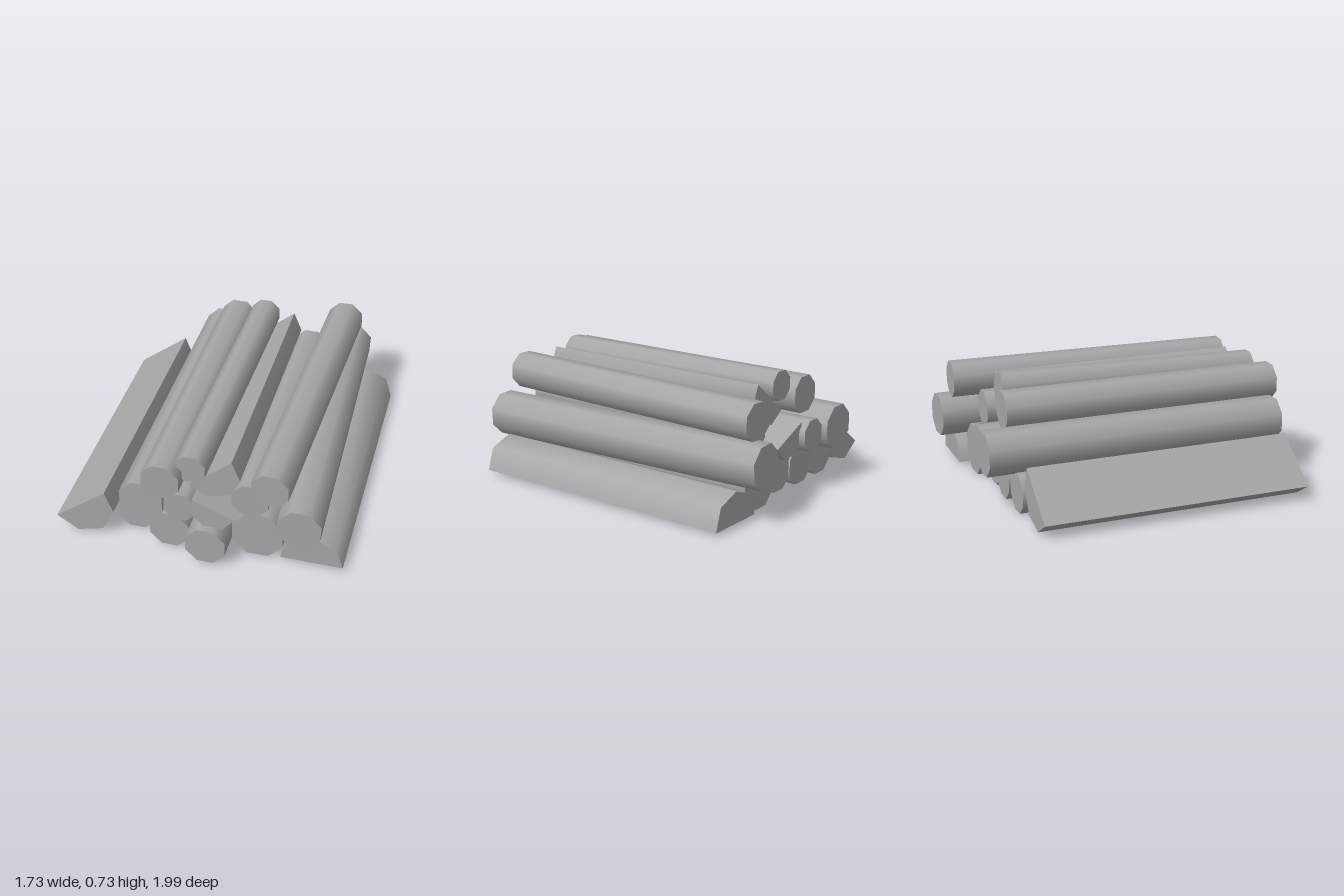
import * as THREE from 'three';
import { toCreasedNormals } from 'three/addons/utils/BufferGeometryUtils.js';

export function createModel() {
  const group = new THREE.Group();
  group.name = 'logPile';
  const wood = new THREE.MeshStandardMaterial({ color: 0xa6a6a6 });
  wood.name = 'plain grey wood';

  // Eight-sided log between two end centres; half is the flat-to-centre distance
  function addLog(name, half, front, back) {
    const a = new THREE.Vector3(...front);
    const b = new THREE.Vector3(...back);
    const axis = a.clone().sub(b);
    const radius = half / Math.cos(Math.PI / 8);
    const geometry = new THREE.CylinderGeometry(radius, radius, axis.length(), 8);
    geometry.rotateY(Math.PI / 8);
    const mesh = new THREE.Mesh(geometry, wood);
    mesh.name = name;
    mesh.position.copy(a).add(b).multiplyScalar(0.5);
    mesh.quaternion.setFromUnitVectors(new THREE.Vector3(0, 1, 0), axis.normalize());
    group.add(mesh);
  }

  // Split log: flat cut face plus rounded bark, extruded from back to front
  function addSplitLog(name, outline, zFront, zBack, shift = [0, 0]) {
    const shape = new THREE.Shape(outline.map(([x, y]) => new THREE.Vector2(x, y)));
    const extruded = new THREE.ExtrudeGeometry(shape, { depth: zFront - zBack, bevelEnabled: false });
    extruded.translate(0, 0, zBack);
    // Lean the back end slightly sideways
    const p = extruded.attributes.position;
    for (let i = 0; i < p.count; i++) {
      const t = (zFront - p.getZ(i)) / (zFront - zBack);
      p.setXY(i, p.getX(i) + shift[0] * t, p.getY(i) + shift[1] * t);
    }
    const mesh = new THREE.Mesh(toCreasedNormals(extruded, 1.0), wood);
    mesh.name = name;
    group.add(mesh);
  }

  // Bottom row
  addLog('bottomLog1', 0.115, [-0.40, 0.128, 0.79], [-0.40, 0.122, -0.77]);
  addLog('bottomLog2', 0.118, [-0.165, 0.14, 0.90], [-0.158, 0.128, -0.78]);
  addLog('bottomLog3', 0.117, [0.075, 0.138, 0.985], [0.065, 0.135, -0.77]);
  addLog('bottomLog4', 0.15, [0.35, 0.163, 0.84], [0.342, 0.152, -0.82]);

  // Middle row
  addLog('middleLog1', 0.128, [-0.318, 0.357, 0.94], [-0.318, 0.357, -0.94]);
  addLog('middleLog2', 0.093, [-0.093, 0.344, 0.92], [-0.083, 0.354, -0.91]);
  addLog('middleLog3', 0.106, [0.307, 0.424, 0.855], [0.312, 0.428, -0.76]);
  addLog('middleLog4', 0.126, [0.61, 0.336, 0.925], [0.543, 0.342, -0.995]);

  // Top row
  addLog('topLog1', 0.11, [-0.186, 0.558, 0.975], [-0.183, 0.562, -0.785]);
  addLog('topLog2', 0.088, [-0.028, 0.625, 0.905], [0.007, 0.647, -0.74]);
  addLog('topLog3', 0.107, [0.437, 0.58, 0.92], [0.507, 0.578, -0.912]);

  // Split logs, outlined counterclockwise as seen from the front
  addSplitLog('leftSplitLog',
    [[-0.866, 0.09], [-0.737, 0.005], [-0.58, 0.05], [-0.506, 0.195], [-0.557, 0.328]], 0.9, -0.755);
  addSplitLog('rightSplitLog',
    [[0.49, 0.03], [0.86, 0.03], [0.817, 0.165], [0.672, 0.218], [0.532, 0.165]], 0.845, -0.88, [-0.008, -0.008]);
  addSplitLog('innerSplitLog',
    [[-0.01, 0.44], [-0.015, 0.34], [0.05, 0.257], [0.17, 0.257], [0.237, 0.337]], 0.94, -0.87);
  addSplitLog('upperSplitLog',
    [[-0.05, 0.48], [0.055, 0.41], [0.196, 0.453], [0.252, 0.568], [0.202, 0.688]], 0.86, -0.705);

  return group;
}
